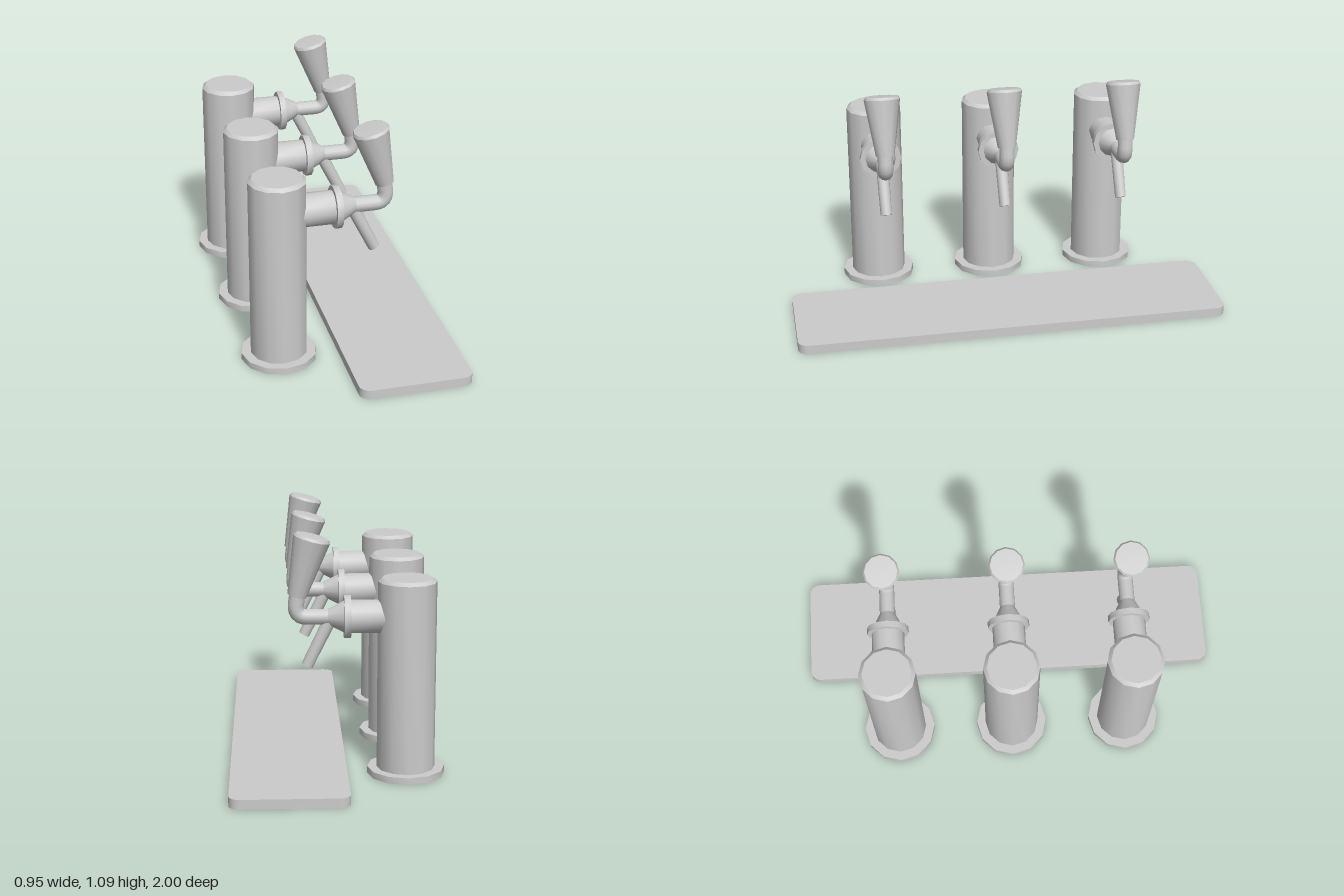
import * as THREE from 'three';
import { toCreasedNormals } from 'three/addons/utils/BufferGeometryUtils.js';

const material = new THREE.MeshStandardMaterial({ color: 0xcccccc, side: THREE.DoubleSide });
const SIDES = 12;
const AXIS_Y = 0.715; // height of the tap's horizontal axis

function part(name, geometry) {
  const mesh = new THREE.Mesh(geometry, material);
  mesh.name = name;
  return mesh;
}

// Turned part from [radius, height] pairs, listed from bottom to top
function turned(name, profile, sides = SIDES) {
  const points = profile.map(([r, h]) => new THREE.Vector2(r, h));
  return part(name, toCreasedNormals(new THREE.LatheGeometry(points, sides), 0.6));
}

// Turn a part built along y so that it runs from one point towards another
function aim(mesh, from, to) {
  mesh.position.copy(from);
  mesh.quaternion.setFromUnitVectors(new THREE.Vector3(0, 1, 0), to.clone().sub(from).normalize());
  return mesh;
}

function createTap() {
  const tap = new THREE.Group();
  tap.name = 'tap';

  // Standing column and foot flange, both open underneath
  const column = turned('column', [[0.129, 0], [0.129, 0.87], [0.112, 0.885], [0, 0.885]]);
  const flange = turned('footFlange', [[0.172, 0], [0.172, 0.03], [0.128, 0.03]]);
  column.position.x = flange.position.x = -0.304;
  tap.add(column, flange);

  // Horizontal body: shank, collar and tapering neck along x
  const body = [
    turned('shank', [[0.075, -0.215], [0.075, -0.05]]),
    turned('collar', [[0, -0.057], [0.096, -0.057], [0.096, -0.028], [0, -0.028]]),
    turned('neck', [[0.072, -0.03], [0.035, 0.042]]),
  ];
  for (const mesh of body) {
    mesh.rotation.z = -Math.PI / 2;
    mesh.position.y = AXIS_Y;
    tap.add(mesh);
  }

  // Pipe bending up to the handle
  const handleBase = new THREE.Vector3(0.176, 0.808, 0);
  const handleTop = new THREE.Vector3(0.107, 1.072, 0);
  const bend = new THREE.CurvePath();
  bend.add(new THREE.LineCurve3(new THREE.Vector3(0.03, AXIS_Y, 0), new THREE.Vector3(0.135, AXIS_Y, 0)));
  bend.add(new THREE.QuadraticBezierCurve3(
    new THREE.Vector3(0.135, AXIS_Y, 0), new THREE.Vector3(0.183, AXIS_Y, 0), new THREE.Vector3(0.18, 0.77, 0)));
  bend.add(new THREE.LineCurve3(new THREE.Vector3(0.18, 0.77, 0), new THREE.Vector3(0.174, 0.815, 0)));
  tap.add(part('bentPipe', new THREE.TubeGeometry(bend, 16, 0.035, SIDES)));

  // Flared handle with a small bevel at the top
  const handle = turned('handle', [[0, 0], [0.042, 0], [0.082, 0.258], [0.074, 0.27], [0, 0.273]]);
  tap.add(aim(handle, handleBase, handleTop));

  // Slanted spout
  const spoutTop = new THREE.Vector3(0.03, 0.707, 0);
  const spoutEnd = new THREE.Vector3(0.132, 0.498, 0);
  const length = spoutTop.distanceTo(spoutEnd);
  const spout = turned('spout', [[0.026, 0], [0.029, length], [0, length]].reverse().map(([r, h]) => [r, length - h])
    .concat([[0, length]]));
  tap.add(aim(spout, spoutTop, spoutEnd));

  return tap;
}

// Drip tray: a shallow shell with rounded corners, open underneath
function createTray() {
  const tray = new THREE.Group();
  tray.name = 'dripTray';
  const [w, d, h, r] = [0.257, 1, 0.043, 0.048];
  const shape = new THREE.Shape();
  shape.absarc(w - r, d - r, r, 0, Math.PI / 2);
  shape.absarc(-w + r, d - r, r, Math.PI / 2, Math.PI);
  shape.absarc(-w + r, -d + r, r, Math.PI, Math.PI * 1.5);
  shape.absarc(w - r, -d + r, r, Math.PI * 1.5, Math.PI * 2);
  shape.closePath();

  const top = new THREE.ShapeGeometry(shape, 4).rotateX(-Math.PI / 2).translate(0, h, 0);

  const outline = shape.getPoints(4);
  const corners = [];
  for (let i = 0; i < outline.length - 1; i++) {
    const a = outline[i], b = outline[i + 1];
    if (a.distanceTo(b) < 1e-5) continue;
    const a0 = [a.x, 0, -a.y], a1 = [a.x, h, -a.y], b0 = [b.x, 0, -b.y], b1 = [b.x, h, -b.y];
    corners.push(...a0, ...b0, ...b1, ...a0, ...b1, ...a1);
  }
  const wall = new THREE.BufferGeometry();
  wall.setAttribute('position', new THREE.Float32BufferAttribute(corners, 3));
  wall.computeVertexNormals();

  tray.add(part('trayTop', top), part('trayWall', toCreasedNormals(wall, 0.6)));
  tray.position.x = 0.217;
  return tray;
}

export function createModel() {
  const model = new THREE.Group();
  model.name = 'tapRow';
  for (const z of [-0.562, -0.005, 0.552]) {
    const tap = createTap();
    tap.position.z = z;
    model.add(tap);
  }
  model.add(createTray());
  return model;
}
